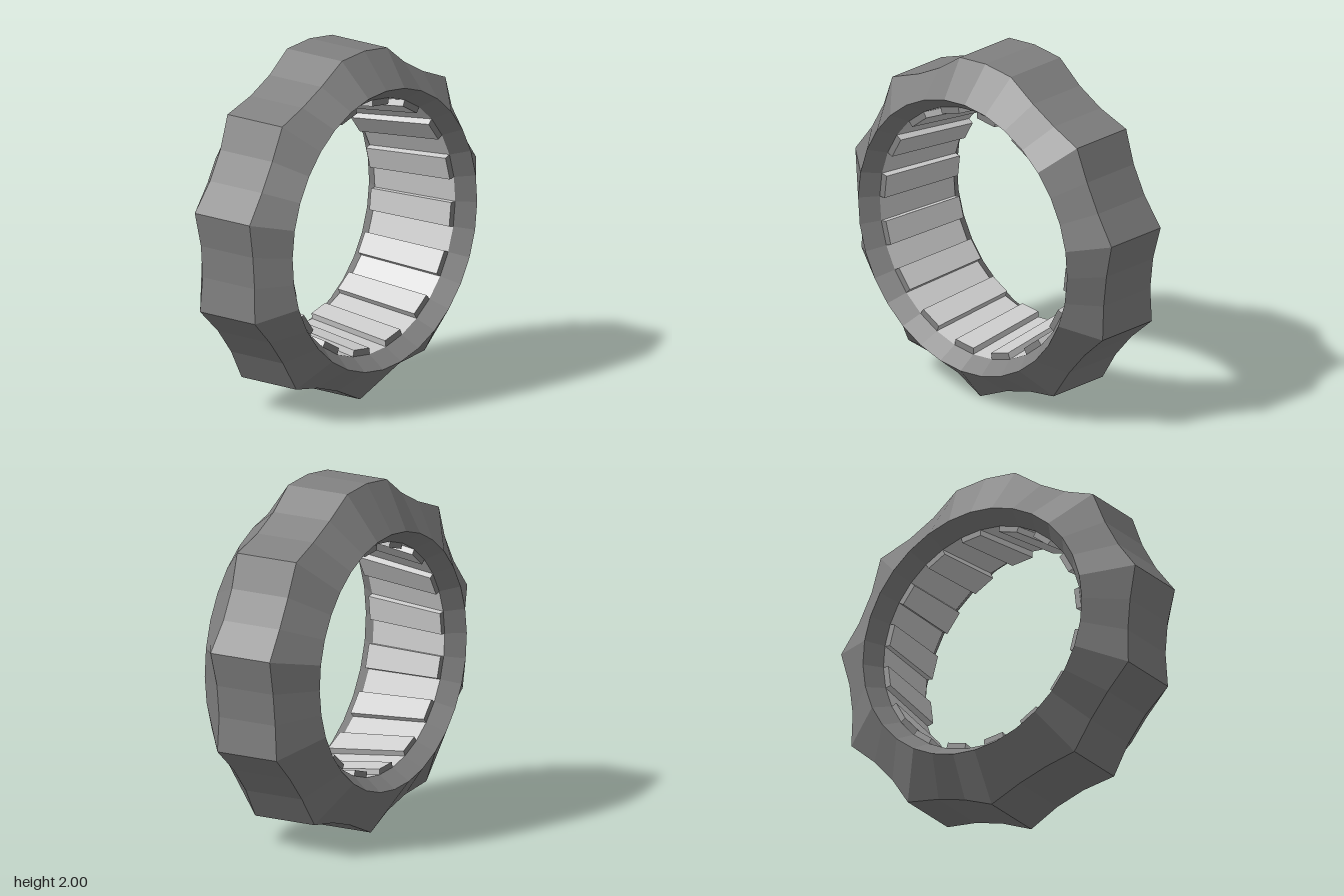
import * as THREE from 'three';

const SIDES = 32;
const CENTER_X = -0.004, CENTER_Y = 1;
const STEP = (Math.PI * 2) / SIDES;
const START = THREE.MathUtils.degToRad(88.9);

const dark = new THREE.MeshStandardMaterial({ color: 0x808080 });
const light = new THREE.MeshStandardMaterial({ color: 0xcccccc });

// Point number i around the ring, at radius r and depth z
const point = (i, r, z) => {
  const a = START + i * STEP;
  return new THREE.Vector3(Math.cos(a) * r, Math.sin(a) * r, z);
};

// Mesh from counter-clockwise four-cornered faces, one normal for each face
function quadMesh(quads, name, material) {
  const positions = [], normals = [];
  for (const [a, b, c, d] of quads) {
    const normal = c.clone().sub(a).cross(d.clone().sub(b)).normalize();
    for (const corner of [a, b, c, a, c, d]) {
      positions.push(...corner.toArray());
      normals.push(...normal.toArray());
    }
  }
  const geometry = new THREE.BufferGeometry();
  geometry.setAttribute('position', new THREE.Float32BufferAttribute(positions, 3));
  geometry.setAttribute('normal', new THREE.Float32BufferAttribute(normals, 3));
  const mesh = new THREE.Mesh(geometry, material);
  mesh.name = name;
  return mesh;
}

// Quads joining two matching open sections
const bridge = (s, t) => s.slice(1).map((_, j) => [s[j], t[j], t[j + 1], s[j + 1]]);

// Outer cross-section, from the back chamfer around the outside to the front
// chamfer: every third corner is a peak
function shellSection(i) {
  const k = i % SIDES;
  const peak = k === 0 || k % 3 === 1;
  const r = peak ? 1 : 0.936;
  const z = peak ? 0.197 : 0.187;
  return [
    [0.66, -0.26], [0.73, -0.36], [r, -z], [r, z], [0.8, 0.36], [0.73, 0.26],
  ].map(([radius, depth]) => point(i, radius, depth));
}

// Tapered bore
const boreSection = (i) => [point(i, 0.73, 0.26), point(i, 0.66, -0.26)];

// Quads of one section swept around the whole ring
function sweep(section) {
  const quads = [];
  for (let i = 0; i < SIDES; i++) quads.push(...bridge(section(i), section(i + 1)));
  return quads;
}

// Raised bar on one facet of the bore, with dark ends
function createTooth(i) {
  const section = (k) => [
    [0.73, 0.26], [0.693, 0.26], [0.627, -0.26], [0.66, -0.26],
  ].map(([r, z]) => point(k, r, z));
  const s = section(i), t = section(i + 1);
  const [front, top, back] = bridge(s, t);
  const tooth = new THREE.Group();
  tooth.name = 'innerTooth';
  tooth.add(
    quadMesh([top, s, [...t].reverse()], 'toothBody', light),
    quadMesh([front, back], 'toothEnds', dark),
  );
  return tooth;
}

export function createModel() {
  const group = new THREE.Group();
  group.name = 'toothedRing';
  group.add(
    quadMesh(sweep(shellSection), 'scallopedShell', dark),
    quadMesh(sweep(boreSection), 'bore', light),
  );

  // Teeth on every other facet
  const teeth = new THREE.Group();
  teeth.name = 'innerTeeth';
  for (let i = 1; i < SIDES; i += 2) teeth.add(createTooth(i));
  group.add(teeth);

  for (const part of group.children) part.position.set(CENTER_X, CENTER_Y, 0);
  return group;
}
